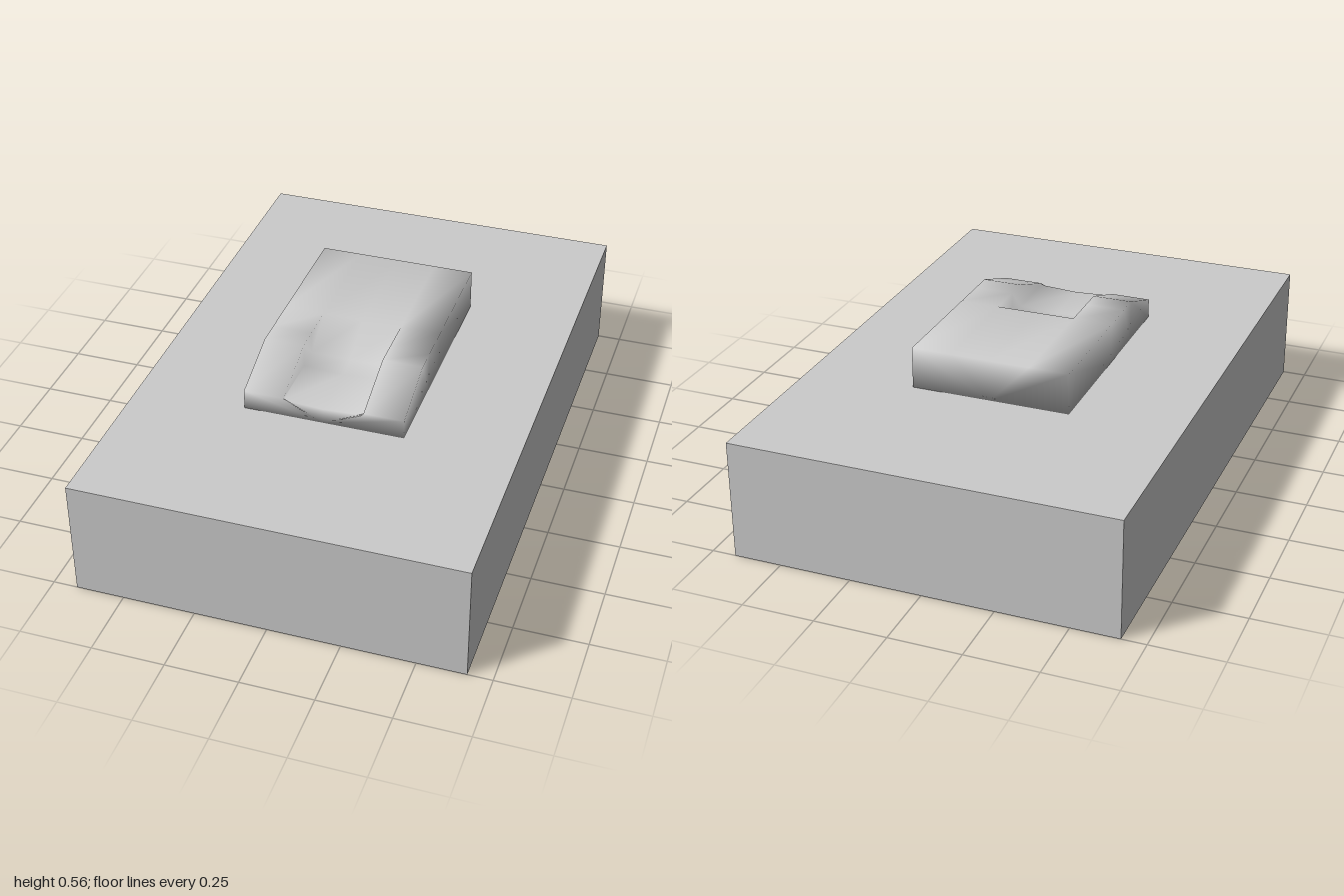
import * as THREE from 'three';
import { mergeVertices } from 'three/addons/utils/BufferGeometryUtils.js';

const BASE_TOP = 0.417;
const HALF_WIDTH = 0.28;
const NOTCH_HALF = 0.14;

// Closed outline of the button at one depth, anticlockwise seen from the front.
function section(top, floor, middle) {
  const right = [[HALF_WIDTH, BASE_TOP], [HALF_WIDTH, top], [NOTCH_HALF, top], [NOTCH_HALF, floor]];
  const left = right.map(([x, y]) => [-x, y]).reverse();
  return [[0, BASE_TOP], ...right, [0, middle], ...left];
}

function buttonGeometry() {
  // z, top edge, notch floor at its walls, notch floor at its middle
  const stations = [
    [-0.42, 0.563, 0.563, 0.563],
    [0, 0.563, 0.563, 0.563],
    [0.13, 0.563, 0.484, 0.48],
    [0.21, 0.563, 0.48, 0.473],
    [0.42, 0.486, 0.479, 0.472],
  ];
  const rings = stations.map(([z, ...h]) => section(...h).map(([x, y]) => [x, y, z]));
  const n = rings[0].length;
  const last = rings.length - 1;
  const index = [];
  // skin between neighbouring sections
  for (let i = 0; i < last; i++) {
    for (let j = 0; j < n; j++) {
      const k = (j + 1) % n;
      const a = i * n + j, b = i * n + k, c = (i + 1) * n + k, d = (i + 1) * n + j;
      index.push(a, b, c, a, c, d);
    }
  }
  // back and front ends, fanned from the bottom centre
  for (let j = 1; j < n - 1; j++) {
    index.push(0, j + 1, j);
    index.push(last * n, last * n + j, last * n + j + 1);
  }
  const geometry = new THREE.BufferGeometry();
  geometry.setAttribute('position', new THREE.Float32BufferAttribute(rings.flat(2), 3));
  geometry.setIndex(index);
  // shared corners give the soft shading
  const merged = mergeVertices(geometry, 1e-4);
  merged.computeVertexNormals();
  return merged;
}

export function createModel() {
  const group = new THREE.Group();
  const material = new THREE.MeshStandardMaterial({ color: 0xcccccc });

  // base block
  const base = new THREE.Mesh(new THREE.BoxGeometry(1.333, BASE_TOP, 2), material);
  base.position.y = BASE_TOP / 2;
  base.name = 'base';

  // raised button with a sloped front and a scooped notch
  const button = new THREE.Mesh(buttonGeometry(), material);
  button.name = 'notchedButton';

  group.add(base, button);
  return group;
}
